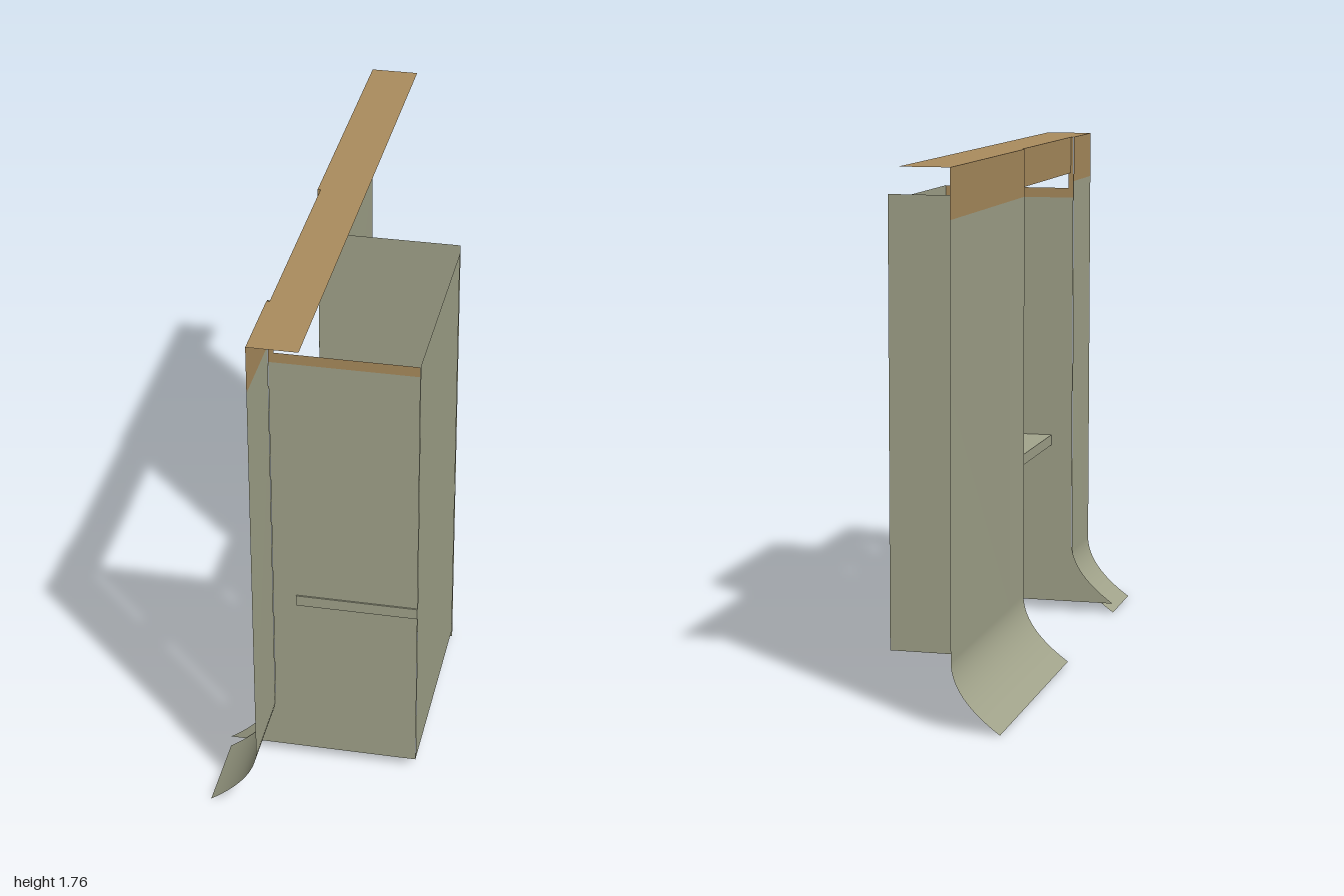
import * as THREE from 'three';

const sage = new THREE.MeshStandardMaterial({ color: 0xa3a58c, side: THREE.DoubleSide });
sage.name = 'sage panel';
const tan = new THREE.MeshStandardMaterial({ color: 0xab8d5e, side: THREE.DoubleSide });
tan.name = 'tan trim';

const WALL_X = -0.162, BACK_X = 0.318, TOP = 1.76;
const Z_FRONT = 0.716, Z_REAR = -0.043;

// Flared foot of the wall section, from the straight part down to the toe
const flare = (lift) => new THREE.QuadraticBezierCurve(
  new THREE.Vector2(WALL_X, 0.225 + lift),
  new THREE.Vector2(WALL_X, 0.11 + lift),
  new THREE.Vector2(-0.32, lift)
).getPoints(14);

// Sheet made by sweeping an (x, y) profile along z
function sheet(profile, z0, z1) {
  const geo = new THREE.PlaneGeometry(1, 1, 1, profile.length - 1);
  const pos = geo.attributes.position;
  for (let i = 0; i < pos.count; i++) {
    const p = profile[Math.floor(i / 2)];
    pos.setXYZ(i, p.x, p.y, i % 2 ? z0 : z1);
  }
  geo.computeVertexNormals();
  return geo;
}

// Flat panel across the cabin at a given z
function crossPanel(points, z) {
  const geo = new THREE.ShapeGeometry(new THREE.Shape(points));
  geo.translate(0, 0, z);
  return geo;
}

const v = (x, y) => new THREE.Vector2(x, y);
const rect = (x0, y0, x1, y1) => [v(x0, y0), v(x1, y0), v(x1, y1), v(x0, y1)];

export function createModel() {
  const group = new THREE.Group();
  const add = (name, geo, mat) => {
    const mesh = new THREE.Mesh(geo, mat);
    mesh.name = name;
    group.add(mesh);
  };

  // Wall sections either side of the recess, each with a trim band on top
  for (const [name, z0, z1] of [['frontWall', Z_FRONT, 1], ['rearWall', -1, Z_REAR]]) {
    add(name, sheet([v(WALL_X, 1.6), ...flare(0)], z0, z1), sage);
    add(name + 'Band', sheet([v(WALL_X, TOP), v(WALL_X, 1.6)], z0, z1), tan);
    add(name + 'Cap', sheet([v(0, TOP), v(WALL_X, TOP)], z0, z1), tan);
  }

  // Lintel and cap over the opening
  add('lintel', sheet([v(-0.152, TOP), v(-0.152, 1.63)], Z_REAR, Z_FRONT), tan);
  add('lintelCap', sheet([v(0, TOP), v(-0.152, TOP)], Z_REAR, Z_FRONT), tan);

  // Recess side panels, cut to the wall profile
  const sides = [
    { name: 'frontSide', z: 0.71, lift: 0.035, top: 1.54 },
    { name: 'rearSide', z: -0.044, lift: 0, top: 1.6 }
  ];
  for (const { name, z, lift, top } of sides) {
    add(name, crossPanel([v(WALL_X, top), ...flare(lift), v(BACK_X, lift), v(BACK_X, top)], z), sage);
    add(name + 'Post', crossPanel(rect(WALL_X, top, -0.144, TOP), z), tan);
  }
  add('frontSideBand', crossPanel(rect(-0.144, 1.54, BACK_X, 1.575), 0.71), tan);

  // Back of the recess
  add('recessBack', sheet([v(BACK_X, 1.577), v(BACK_X, 0.037)], -0.028, 0.706), sage);

  // Shelf
  const shelf = new THREE.BoxGeometry(0.402, 0.038, 0.757);
  shelf.translate(0.117, 0.642, 0.3365);
  add('shelf', shelf, sage);

  return group;
}
